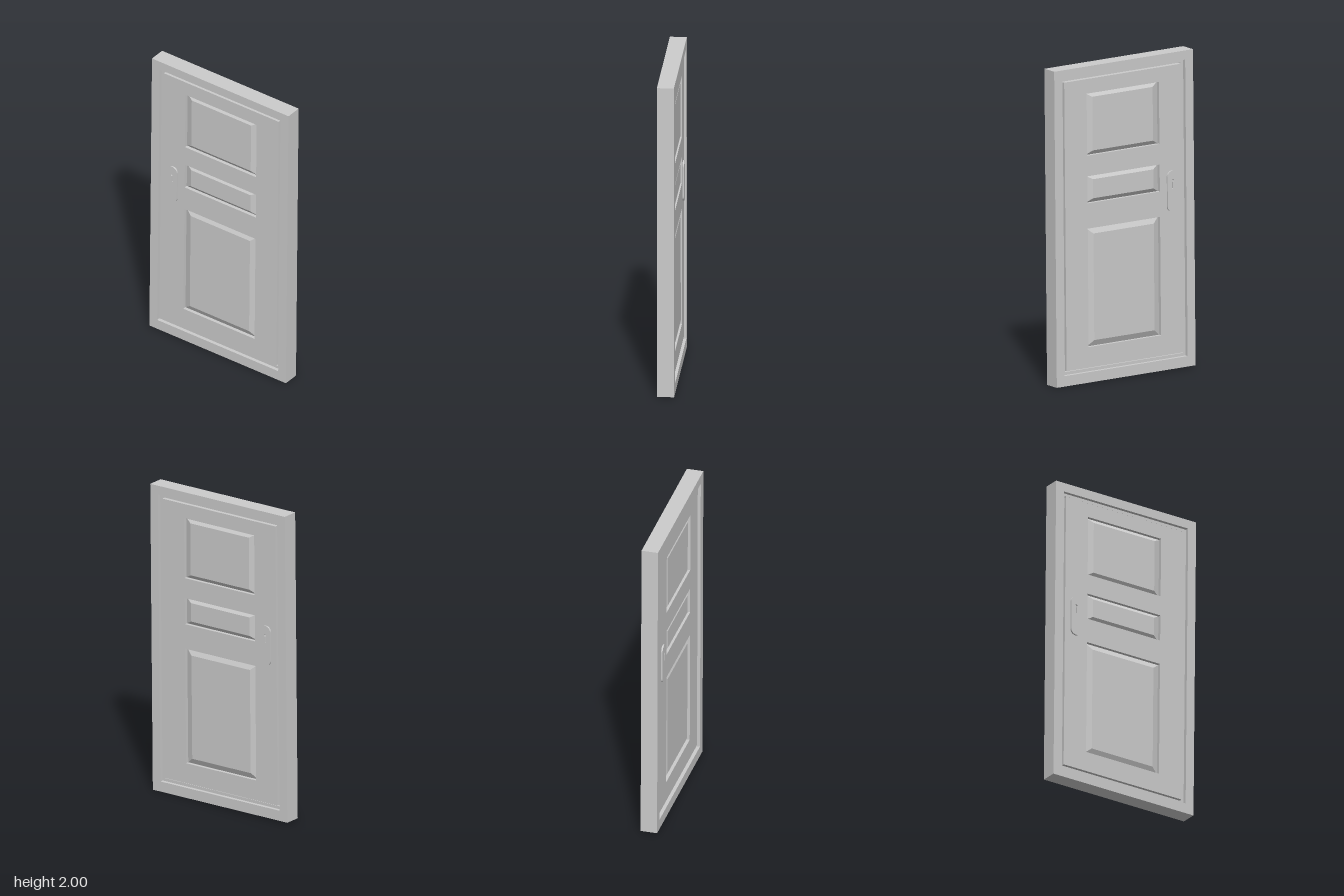
import * as THREE from 'three';

const material = new THREE.MeshStandardMaterial({ color: 0xcccccc });

// Rectangle outline from centre and half sizes
function rect(target, cx, cy, hw, hh) {
  target.moveTo(cx - hw, cy - hh);
  target.lineTo(cx + hw, cy - hh);
  target.lineTo(cx + hw, cy + hh);
  target.lineTo(cx - hw, cy + hh);
  target.closePath();
  return target;
}

function mesh(name, geometry, parent) {
  const m = new THREE.Mesh(geometry, material);
  m.name = name;
  parent.add(m);
  return m;
}

// Extrusion centred on z = 0
function slab(shape, depth) {
  const g = new THREE.ExtrudeGeometry(shape, { depth, bevelEnabled: false, curveSegments: 12 });
  return g.translate(0, 0, -depth / 2);
}

// Panel with a raised, bevelled field on both faces
function raisedPanel(w, h, bevelX, bevelY) {
  const base = 0.018, top = 0.036;
  const g = new THREE.BoxGeometry(w, h, 1, 1, 1, 3);
  const p = g.attributes.position;
  for (let i = 0; i < p.count; i++) {
    const z = p.getZ(i), outer = Math.abs(z) > 0.3;
    if (outer) {
      p.setX(i, Math.sign(p.getX(i)) * (w / 2 - bevelX));
      p.setY(i, Math.sign(p.getY(i)) * (h / 2 - bevelY));
    }
    p.setZ(i, Math.sign(z) * (outer ? top : base));
  }
  const flat = g.toNonIndexed();
  flat.computeVertexNormals();
  return flat;
}

// Lock plate outline with a keyhole
function lockPlateShape() {
  const r = 0.036, half = 0.129;
  const s = new THREE.Shape();
  s.absarc(0, half - r, r, 0, Math.PI);
  s.absarc(0, r - half, r, Math.PI, Math.PI * 2);
  s.closePath();
  const k = new THREE.Path();
  k.moveTo(-0.004, 0.018);
  k.lineTo(0.004, 0.018);
  k.lineTo(0.004, 0.06);
  k.absarc(0, 0.068, 0.009, -1.1, Math.PI + 1.1);
  k.lineTo(-0.004, 0.018);
  s.holes.push(k);
  return s;
}

export function createModel() {
  const group = new THREE.Group();
  group.name = 'door';

  // Everything hangs in one very slightly tilted assembly
  const door = new THREE.Group();
  door.name = 'doorAssembly';
  door.position.y = 1;
  door.rotation.z = -0.01;
  group.add(door);

  // Outer frame
  const frame = rect(new THREE.Shape(), 0, 0, 0.52, 0.9948);
  frame.holes.push(rect(new THREE.Path(), 0, 0.004, 0.461, 0.933));
  mesh('frame', slab(frame, 0.105), door);

  // Stepped lip inside the frame
  const lip = rect(new THREE.Shape(), 0, 0.004, 0.461, 0.933);
  lip.holes.push(rect(new THREE.Path(), 0, 0.004, 0.443, 0.914));
  mesh('frameLip', slab(lip, 0.06), door);

  // Leaf with three openings, each filled by a raised panel
  const leaf = rect(new THREE.Shape(), 0, 0.004, 0.437, 0.908);
  const panels = [
    ['topPanel', 0.625, 0.39, 0.026],
    ['middlePanel', 0.215, 0.17, 0.025],
    ['bottomPanel', -0.402, 0.745, 0.037],
  ];
  for (const [name, y, h, bevelY] of panels) {
    leaf.holes.push(rect(new THREE.Path(), -0.001, y, 0.271, h / 2));
    mesh(name, raisedPanel(0.542, h, 0.045, bevelY), door).position.set(-0.001, y, 0);
  }
  mesh('leaf', slab(leaf, 0.08), door);

  // Lock plates on both faces
  for (const side of [1, -1]) {
    const plate = mesh(side > 0 ? 'frontLockPlate' : 'backLockPlate', slab(lockPlateShape(), 0.01), door);
    plate.position.set(-0.36, 0.122, side * 0.045);
  }
  return group;
}
